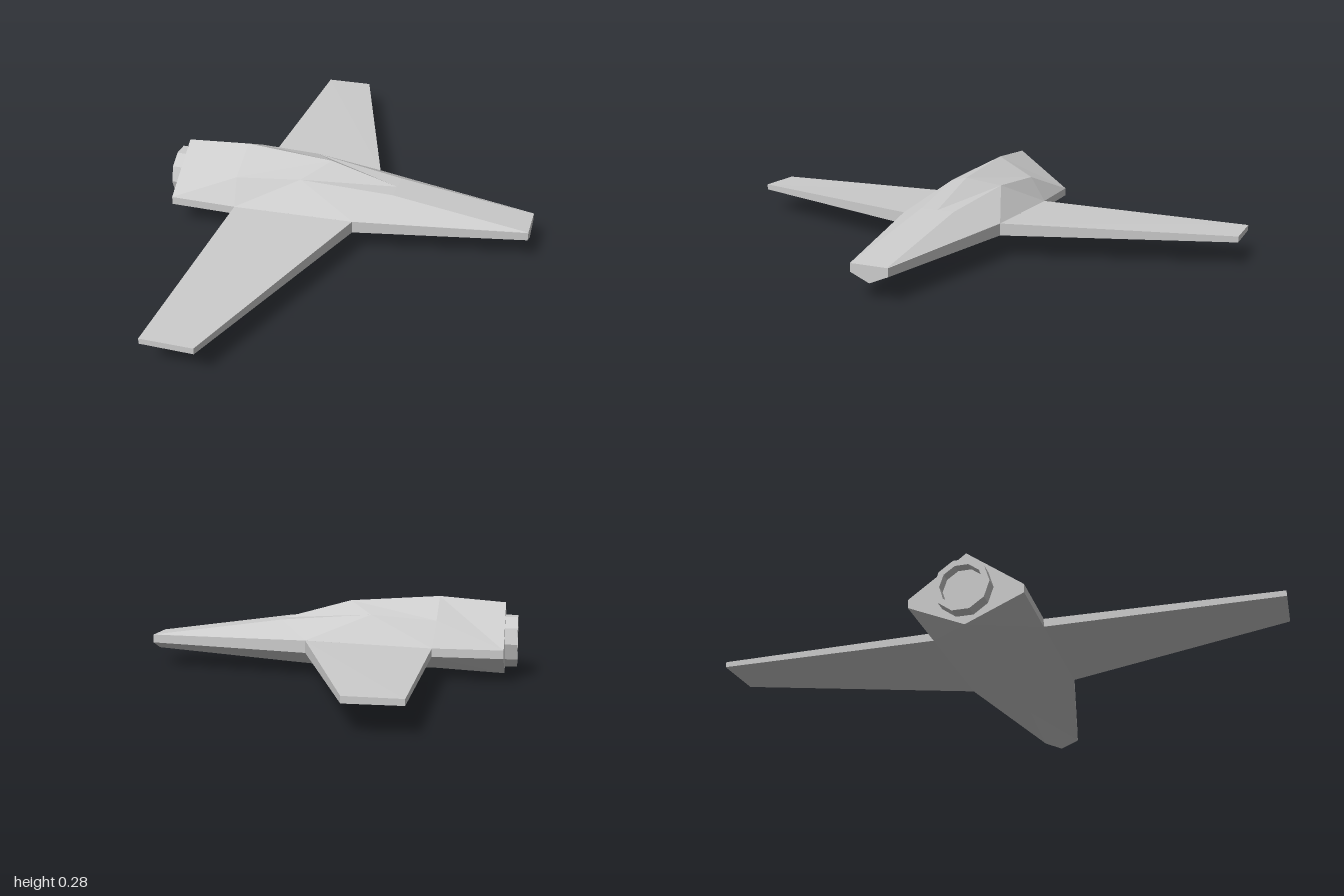
import * as THREE from 'three';

const material = new THREE.MeshStandardMaterial({ color: 0xcccccc, flatShading: true });
const doubleMaterial = new THREE.MeshStandardMaterial({ color: 0xcccccc, flatShading: true, side: THREE.DoubleSide });

// Faceted skin through a series of closed rings, capped at both ends.
// Rings run clockwise when seen from the last ring's end.
function loft(rings) {
  const pos = [];
  const tri = (a, b, c) => {
    const n = new THREE.Vector3().subVectors(b, a).cross(new THREE.Vector3().subVectors(c, a));
    if (n.length() > 1e-8) for (const p of [a, b, c]) pos.push(p.x, p.y, p.z);
  };
  const r = rings.map(ring => ring.map(p => new THREE.Vector3(...p)));
  const n = r[0].length, last = r[r.length - 1];
  for (let i = 0; i < r.length - 1; i++) {
    for (let j = 0; j < n; j++) {
      const k = (j + 1) % n;
      const a = r[i][j], b = r[i][k], c = r[i + 1][j], d = r[i + 1][k];
      // mirrored diagonals keep the two flanks symmetrical
      if (j < n / 2) { tri(a, c, d); tri(a, d, b); }
      else { tri(a, c, b); tri(b, c, d); }
    }
  }
  for (let j = 1; j < n - 1; j++) {
    tri(r[0][0], r[0][j], r[0][j + 1]);
    tri(last[0], last[j + 1], last[j]);
  }
  const g = new THREE.BufferGeometry();
  g.setAttribute('position', new THREE.Float32BufferAttribute(pos, 3));
  g.computeVertexNormals();
  return g;
}

function add(group, name, geometry, mat = material) {
  const mesh = new THREE.Mesh(geometry, mat);
  mesh.name = name;
  group.add(mesh);
  return mesh;
}

export function createModel() {
  const model = new THREE.Group();
  model.name = 'aircraft';

  // Fuselage half-sections, tail to nose: keel, lower side, upper side, shoulder, ridge
  const halves = [
    [[-0.64, 0.003, 0], [-0.64, 0.09, 0.197], [-0.64, 0.12, 0.197], [-0.64, 0.12, 0.197], [-0.64, 0.265, 0]],
    [[-0.39, 0.015, 0], [-0.39, 0.09, 0.197], [-0.39, 0.12, 0.197], [-0.4, 0.21, 0.135], [-0.4, 0.283, 0]],
    [[0.065, 0.015, 0], [0.065, 0.09, 0.197], [0.065, 0.135, 0.197], [-0.16, 0.222, 0.105], [-0.07, 0.26, 0]],
    [[0.18, 0.023, 0], [0.18, 0.09, 0.173], [0.18, 0.132, 0.173], [0.18, 0.19, 0.065], [0.18, 0.19, 0]],
    [[0.68, 0.06, 0], [0.68, 0.09, 0.07], [0.68, 0.12, 0.07], [0.68, 0.12, 0.066], [0.68, 0.12, 0]],
  ];
  const rings = halves.map(h => [...h, ...h.slice(1, -1).reverse().map(([x, y, z]) => [x, y, -z])]);
  add(model, 'fuselage', loft(rings));

  // Tapered wings, straight trailing edge and swept leading edge
  for (const s of [1, -1]) {
    const root = [[-0.39, 0.09, s * 0.195], [-0.39, 0.12, s * 0.195], [0.065, 0.135, s * 0.195], [0.065, 0.09, s * 0.195]];
    const tip = [[-0.39, 0.09, s], [-0.39, 0.11, s], [-0.205, 0.112, s], [-0.205, 0.09, s]];
    if (s < 0) { root.reverse(); tip.reverse(); }
    add(model, s > 0 ? 'rightWing' : 'leftWing', loft([root, tip]));
  }

  // Ten-sided exhaust nozzle with a recessed floor
  const profile = [[0.0955, 0], [0.0955, 0.045], [0.074, 0.045], [0.074, 0.01], [0, 0.01]]
    .map(p => new THREE.Vector2(...p));
  const nozzle = add(model, 'exhaustNozzle', new THREE.LatheGeometry(profile, 10), doubleMaterial);
  nozzle.rotation.z = Math.PI / 2;
  nozzle.position.set(-0.64, 0.125, 0);

  return model;
}
